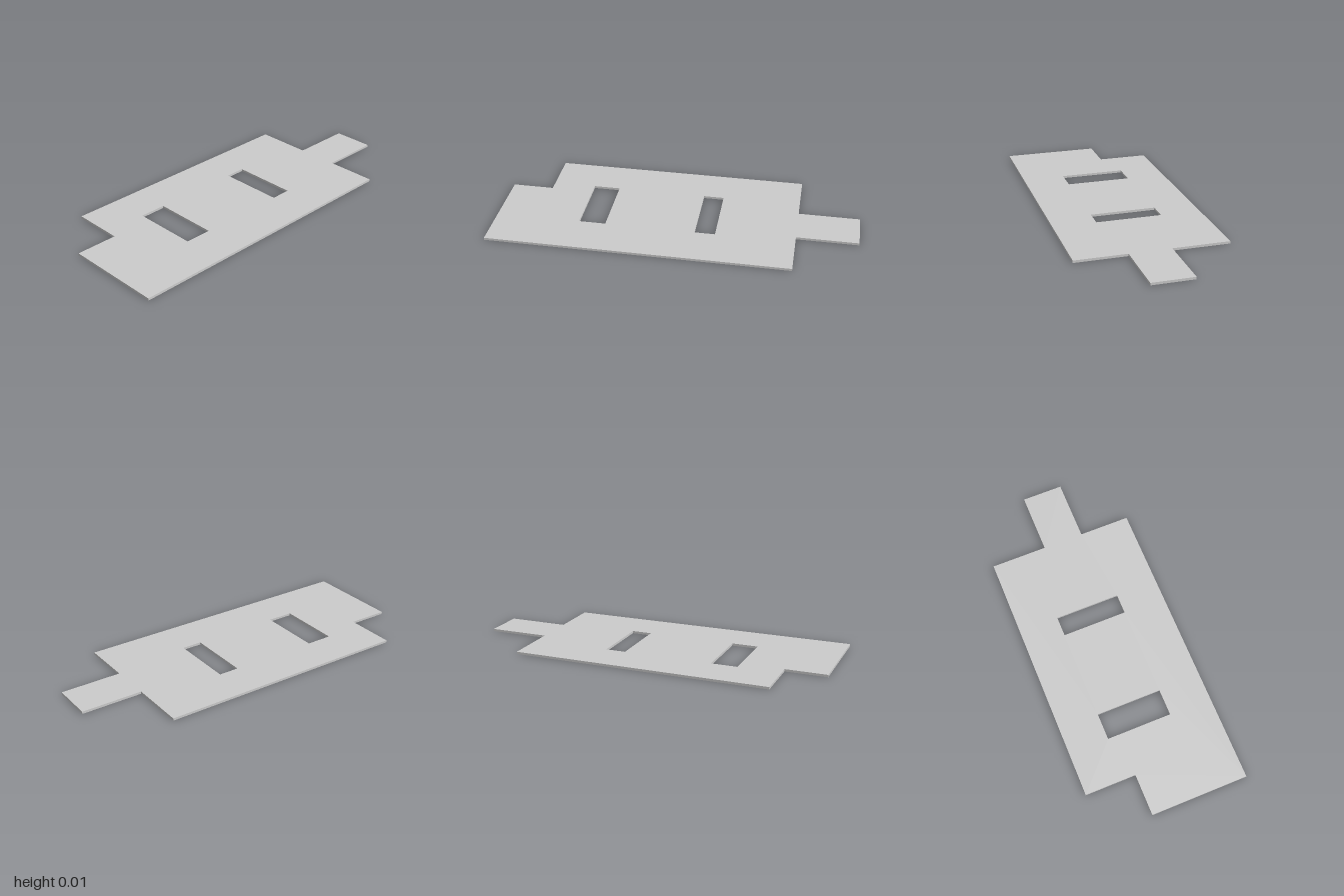
import * as THREE from 'three';

const HEIGHT = 0.013, SKIN = 0.002, WALL = 0.005;

export function createModel() {
  const model = new THREE.Group();
  model.name = 'floorSlab';
  const material = new THREE.MeshStandardMaterial({ color: 0xcccccc, flatShading: true });

  // plan points are [x, z]
  const outline = [
    [-0.415, -0.66], [-0.1, -0.66], [-0.1, -1], [0.13, -1], [0.13, -0.66], [0.415, -0.66],
    [0.415, 1], [-0.13, 1], [-0.13, 0.77], [-0.415, 0.77],
  ];
  const holes = [[-0.19, -0.225, 0.175, -0.112], [-0.19, 0.385, 0.175, 0.533]];

  // Thin top skin with two rectangular openings
  const shape = new THREE.Shape(outline.map(([x, z]) => new THREE.Vector2(x, z)));
  for (const [x0, z0, x1, z1] of holes) {
    shape.holes.push(new THREE.Path([[x0, z0], [x0, z1], [x1, z1], [x1, z0]]
      .map(([x, z]) => new THREE.Vector2(x, z))));
  }
  const skinGeometry = new THREE.ExtrudeGeometry(shape, { depth: SKIN, bevelEnabled: false });
  skinGeometry.rotateX(Math.PI / 2).translate(0, HEIGHT, 0);
  const skin = new THREE.Mesh(skinGeometry, material);
  skin.name = 'topSkin';
  model.add(skin);

  // Thin upright wall covering a plan rectangle, hanging from the skin
  function wall(name, x0, z0, x1, z1) {
    const h = HEIGHT - SKIN;
    const mesh = new THREE.Mesh(new THREE.BoxGeometry(x1 - x0, h, z1 - z0), material);
    mesh.position.set((x0 + x1) / 2, h / 2, (z0 + z1) / 2);
    mesh.name = name;
    model.add(mesh);
  }
  // side: +1 or -1 tells which way the wall thickness grows
  const alongX = (name, z, x0, x1, side) =>
    wall(name, x0, Math.min(z, z + side * WALL), x1, Math.max(z, z + side * WALL));
  const alongZ = (name, x, z0, z1, side) =>
    wall(name, Math.min(x, x + side * WALL), z0, Math.max(x, x + side * WALL), z1);

  // Outer rim
  alongX('backRim', -0.66, -0.415, 0.415, 1);
  alongX('tabEndRim', -1, -0.1, 0.13, 1);
  alongZ('tabSideRim', -0.1, -1, -0.66, 1);
  alongZ('tabSideRim', 0.13, -1, -0.66, -1);
  alongZ('leftRim', 0.415, -0.66, 1, -1);
  alongZ('rightRim', -0.415, -0.66, 0.77, 1);
  alongX('frontRim', 1, -0.13, 0.415, -1);
  alongZ('notchRim', -0.13, 0.77, 1, 1);

  // Ribs under the slab, flush with the opening edges
  alongX('crossRib', 0.77, -0.415, 0.415, -1);
  alongX('crossRib', 0.385, -0.415, 0.415, -1);
  alongX('crossRib', -0.112, -0.415, 0.415, 1);
  alongZ('longRib', -0.19, -0.66, 0.77, -1);
  alongZ('longRib', 0.175, -0.66, 0.77, 1);
  alongX('openingRib', -0.225, -0.19, 0.175, -1);
  alongX('openingRib', 0.533, -0.19, 0.175, 1);

  return model;
}
